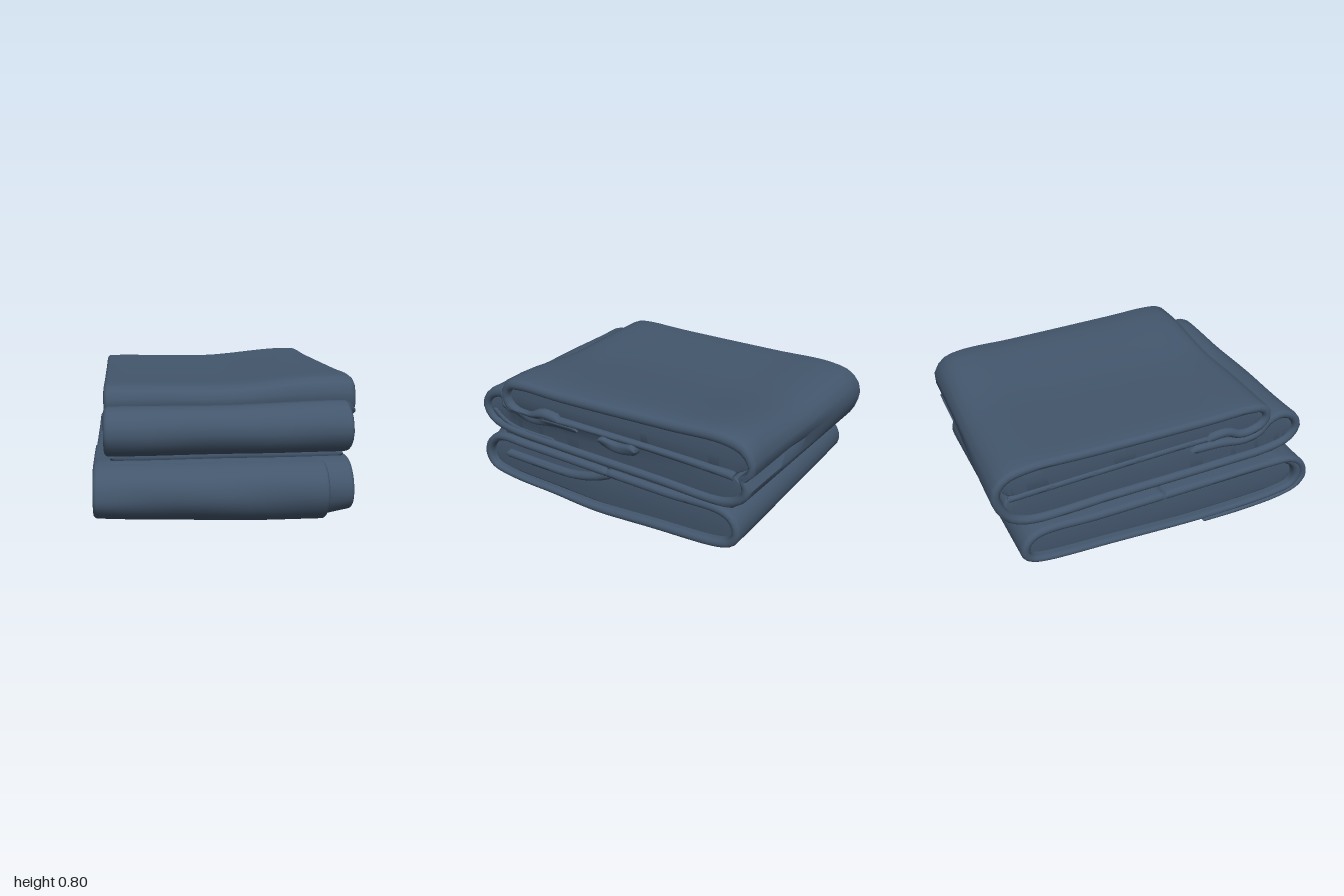
import * as THREE from 'three';
import { toCreasedNormals } from 'three/addons/utils/BufferGeometryUtils.js';

const N = 124; // samples along each fold path

// Gentle sag, bulges and creases shared by all the cloth
function warp(p) {
  const { x, y, z } = p;
  const step = THREE.MathUtils.smoothstep;
  // underside lifts towards the right-hand end and curls up at the other hem
  if (y < 0.2) {
    const k = 1 - y / 0.2;
    p.y += k * (0.05 * ((0.52 - x) / 1.24) ** 2 + 0.035 * step(x, 0.52, 0.64) * step(z, 0, 0.5));
  }
  // top swells near the left-hand end
  if (y > 0.5) {
    p.y += step(y, 0.6, 0.75) * (0.04 * step(x, -0.05, 0.6) - 0.02 * step(x, 0.6, 0.72) - 0.004 * Math.cos(x * 5));
    p.x += 0.06 * step(z, -0.95, 0.7) * (1 - step(z, 0.71, 0.78)) * step(y, 0.53, 0.6) * step(x, 0.4, 0.68);
  }
  // back edge is skewed, with a broad crease across it
  if (y > 0.38 && z < -0.5) {
    p.z += 0.045 * (x + 0.66) / 1.32 * (-z - 0.5) / 0.5;
    p.z += 0.06 * Math.exp(-(((y - 0.55) / 0.04) ** 2)) * step(x, -0.4, 0.3) * step(-z, 0.8, 0.92);
  }
  // soft ripples on the front rolls
  p.z += 0.004 * Math.sin(x * 9 + y * 14) * step(z, 0.3, 0.8);
  return p;
}

// Cloth of half thickness h, swept across x, along a path of [z, y] points
function sheet(path, h, x0, x1, round = h) {
  const curve = new THREE.CatmullRomCurve3(path.map(([z, y]) => new THREE.Vector3(0, y, z)), false, 'centripetal');
  curve.arcLengthDivisions = 600;
  const len = curve.getLength();

  // stations across x with rounded hems
  const hem = [[0, 0]];
  for (let i = 0; i <= 4; i++) {
    const a = i / 4 * Math.PI / 2;
    hem.push([round * (1 - Math.cos(a)), h - round + round * Math.sin(a)]);
  }
  const stations = hem.map(([d, s]) => [x0 + d, s]);
  for (let i = 1; i < 12; i++) stations.push([THREE.MathUtils.lerp(x0 + round, x1 - round, i / 12), h]);
  hem.slice().reverse().forEach(([d, s]) => stations.push([x1 - d, s]));

  // frames along the path, tapered to round its two ends
  const frames = [];
  for (let i = 0; i <= N; i++) {
    const s = i / N, u = (1 - Math.cos(s * Math.PI)) / 2 * 0.25 + s * 0.75;
    const e = Math.min(1, Math.min(u, 1 - u) * len / h);
    const p = curve.getPointAt(u), t = curve.getTangentAt(u);
    frames.push({ p, t, k: Math.sqrt(Math.max(0, 1 - (1 - e) ** 2)) });
  }
  const pos = [], index = [], ring = 2 * (N + 1);
  for (const [x, s] of stations) {
    for (let j = 0; j < ring; j++) {
      const back = j > N, f = frames[back ? ring - 1 - j : j], o = (back ? -1 : 1) * s * f.k;
      const v = warp(new THREE.Vector3(x, f.p.y + o * f.t.z, f.p.z - o * f.t.y));
      pos.push(v.x, v.y, v.z);
    }
  }
  for (let i = 0; i < stations.length - 1; i++) {
    for (let j = 0; j < ring; j++) {
      const a = i * ring + j, b = i * ring + (j + 1) % ring;
      index.push(a, b, a + ring, b, b + ring, a + ring);
    }
  }
  const g = new THREE.BufferGeometry();
  g.setAttribute('position', new THREE.Float32BufferAttribute(pos, 3));
  g.setIndex(index);
  return toCreasedNormals(g, 0.9);
}

export function createModel() {
  const group = new THREE.Group();
  const cloth = new THREE.MeshStandardMaterial({ color: 0x43566c, side: THREE.DoubleSide });
  cloth.name = 'slate blue cloth';
  const add = (name, ...args) => {
    const m = new THREE.Mesh(sheet(...args), cloth);
    m.name = name;
    group.add(m);
  };

  // Bottom fold: front wrap, full loop, tucked flap and recessed filling
  add('bottomWrap', [[0.27, 0.025], [0.55, 0.022], [0.8, 0.045], [0.92, 0.09], [0.972, 0.18],
    [0.955, 0.27], [0.88, 0.33], [0.7, 0.345], [0.3, 0.34]], 0.023, -0.73, 0.52);
  add('bottomLoop', [[0, 0.33], [0.6, 0.338], [0.84, 0.335], [0.92, 0.27], [0.935, 0.2], [0.9, 0.115],
    [0.78, 0.075], [0.3, 0.055], [-0.3, 0.088], [-0.74, 0.12], [-0.81, 0.15], [-0.84, 0.21], [-0.82, 0.28],
    [-0.75, 0.325], [-0.4, 0.325], [0.02, 0.33]], 0.027, -0.725, 0.66);
  add('bottomTuckedFlap', [[0.8, 0.225], [0.5, 0.22], [0.28, 0.225], [0.12, 0.26], [0, 0.31]], 0.028, -0.6, 0.64);
  add('bottomFilling', [[0.92, 0.205], [0.3, 0.19], [-0.83, 0.22]], 0.118, -0.67, 0.61, 0.02);

  // Upper cloth: rolled front edge, top, back, then the middle fold
  add('upperCloth', [[0.3, 0.6], [0.44, 0.61], [0.52, 0.575], [0.6, 0.575], [0.68, 0.61], [0.705, 0.665],
    [0.675, 0.71], [0.58, 0.725], [0.3, 0.72], [-0.4, 0.72], [-0.78, 0.722], [-0.91, 0.69], [-0.965, 0.62],
    [-0.95, 0.52], [-0.89, 0.43], [-0.78, 0.385], [-0.3, 0.39], [0.4, 0.4], [0.75, 0.415], [0.88, 0.455],
    [0.922, 0.53], [0.885, 0.605], [0.8, 0.637], [0.72, 0.61], [0.66, 0.55], [0.56, 0.525], [0.4, 0.545],
    [0.2, 0.55]], 0.027, -0.67, 0.655);
  // Layer under the top
  add('topUnderLayer', [[0.45, 0.595], [0.2, 0.59], [-0.4, 0.57], [-0.9, 0.55]], 0.024, -0.65, 0.65);
  add('topFilling', [[0.69, 0.655], [0.2, 0.655], [-0.93, 0.635]], 0.08, -0.64, 0.62, 0.02);
  // Inner edge of the middle roll
  add('middleInnerLayer', [[0.87, 0.52], [0.8, 0.465], [0.7, 0.43], [0.4, 0.42]], 0.02, -0.64, 0.64);
  add('middleFilling', [[0.9, 0.525], [0.3, 0.49], [-0.93, 0.485]], 0.1, -0.64, 0.63, 0.02);
  // Small pinched tab on the left side
  add('sideTab', [[0.03, 0.56], [-0.08, 0.53], [-0.22, 0.55]], 0.035, 0.45, 0.69);
  // Packing that closes the gap between the two halves
  add('betweenFolds', [[0.8, 0.385], [0, 0.365], [-0.76, 0.36]], 0.035, -0.64, 0.63);

  // Settle on the ground and centre
  const box = new THREE.Box3().setFromObject(group), c = box.getCenter(new THREE.Vector3());
  group.children.forEach((m) => m.position.set(-c.x, -box.min.y, -c.z));
  return group;
}
